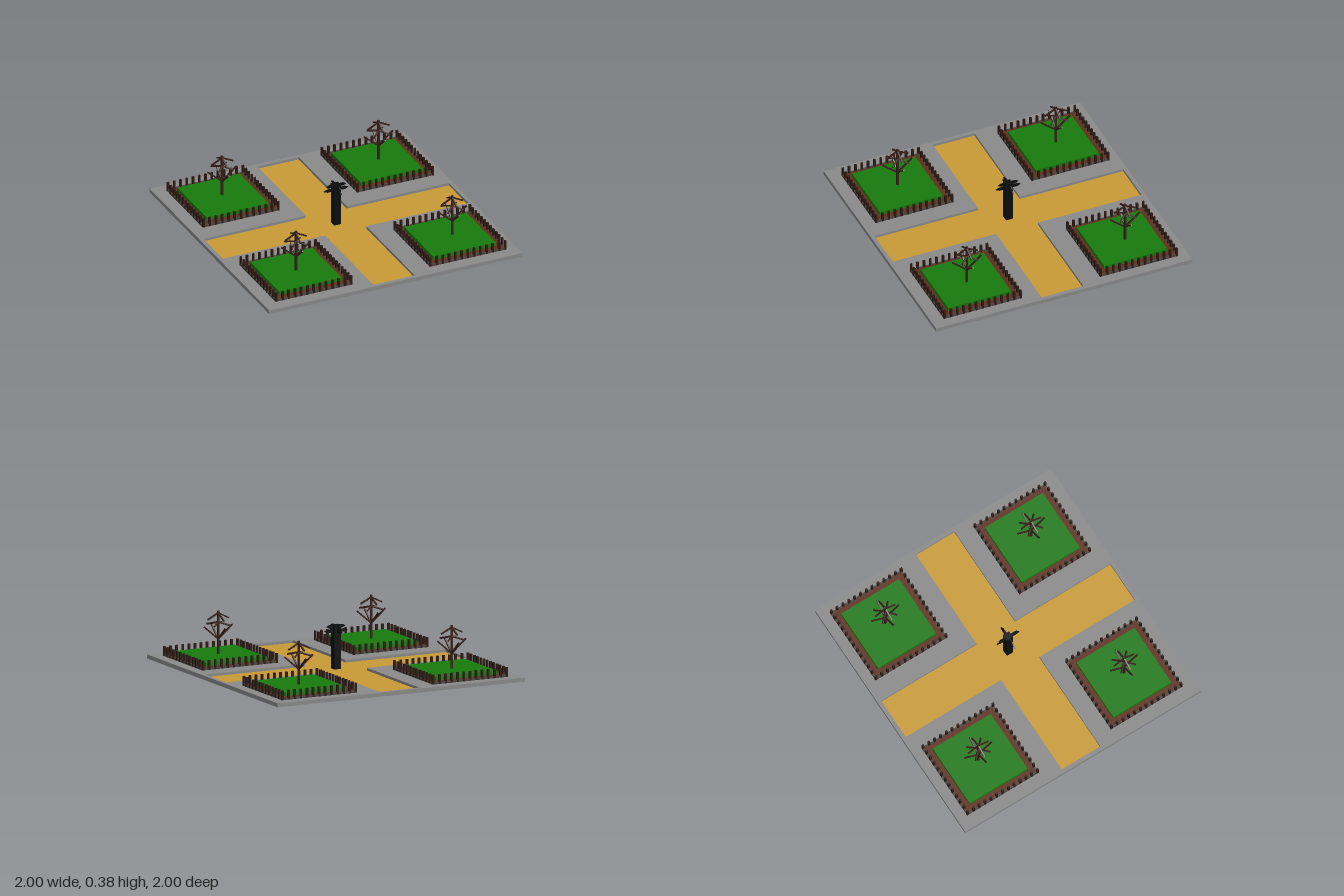
import * as THREE from 'three';

const mat = (color) => new THREE.MeshStandardMaterial({ color });
const STONE = mat(0x8a8a8a), PATH = mat(0xc89a35), GRASS = mat(0x177a0c);
const SOIL = mat(0x5e2f1a), RAIL = mat(0x4a4340), WOOD = mat(0x2e1a14), BARK = mat(0x38201a), IRON = mat(0x0c0e0e);

const UP = new THREE.Vector3(0, 1, 0);

function add(parent, name, geometry, material) {
  const mesh = new THREE.Mesh(geometry, material);
  mesh.name = name;
  parent.add(mesh);
  return mesh;
}

// Box given by its size, centre in x and z, and bottom height
function box(parent, name, material, w, h, d, x, y, z) {
  const mesh = add(parent, name, new THREE.BoxGeometry(w, h, d), material);
  mesh.position.set(x, y + h / 2, z);
  return mesh;
}

// Square bar between two points
function bar(parent, name, material, from, to, t) {
  const a = new THREE.Vector3(...from), b = new THREE.Vector3(...to);
  const dir = b.clone().sub(a);
  const mesh = add(parent, name, new THREE.BoxGeometry(t, dir.length(), t), material);
  mesh.position.copy(a).add(b).multiplyScalar(0.5);
  mesh.quaternion.setFromUnitVectors(UP, dir.normalize());
}

// Plus-shaped outline
function crossPoints(w, l) {
  return [[w, w], [l, w], [l, -w], [w, -w], [w, -l], [-w, -l],
    [-w, -w], [-l, -w], [-l, w], [-w, w], [-w, l], [w, l]].map(([x, y]) => new THREE.Vector2(x, y));
}

// Extrude a shape upwards from height y
function slab(parent, name, shape, material, y, h) {
  const g = new THREE.ExtrudeGeometry(shape, { depth: h, bevelEnabled: false });
  g.rotateX(-Math.PI / 2);
  g.translate(0, y, 0);
  return add(parent, name, g, material);
}

function makeTree() {
  const tree = new THREE.Group();
  tree.name = 'tree';
  box(tree, 'trunk', BARK, 0.015, 0.325, 0.015, 0, 0.06, 0);
  for (let i = 0; i < 4; i++) {
    const a = i * Math.PI / 2, c = Math.cos(a), s = Math.sin(a);
    bar(tree, 'lowBranch', BARK, [0, 0.18, 0], [c * 0.114, 0.277, s * 0.114], 0.01);
    bar(tree, 'topBranch', BARK, [0, 0.37, 0], [c * 0.085, 0.327, s * 0.085], 0.01);
    const dx = Math.cos(a + Math.PI / 4) * 0.088, dz = Math.sin(a + Math.PI / 4) * 0.088;
    bar(tree, 'middleBranch', BARK, [0, 0.304, 0], [dx, 0.285, dz], 0.01);
  }
  return tree;
}

function makeFence() {
  const fence = new THREE.Group();
  fence.name = 'fence';
  const r = 0.296, n = 12;
  for (let side = 0; side < 4; side++) {
    const run = new THREE.Group();
    run.name = 'fenceSide';
    run.rotation.y = side * Math.PI / 2;
    box(run, 'rail', RAIL, 0.604, 0.016, 0.013, 0, 0.03, r);
    for (let i = 0; i < n; i++) {
      box(run, 'picket', WOOD, 0.016, 0.07, 0.015, -r + i * 2 * r / n, 0.03, r);
    }
    fence.add(run);
  }
  return fence;
}

function makeBed(x, z, treeX, treeZ) {
  const bed = new THREE.Group();
  bed.name = 'gardenBed';
  box(bed, 'soil', SOIL, 0.582, 0.014, 0.582, 0, 0.03, 0);
  box(bed, 'grass', GRASS, 0.492, 0.026, 0.492, 0, 0.044, 0);
  bed.add(makeFence());
  const tree = makeTree();
  tree.position.set(treeX - x, 0, treeZ - z);
  bed.add(tree);
  bed.position.set(x, 0, z);
  return bed;
}

function makeColumn() {
  const column = new THREE.Group();
  column.name = 'centralPost';
  box(column, 'post', IRON, 0.052, 0.321, 0.052, 0, 0.01, 0);
  // Two tiers of crossed, pointed blades
  for (const [y, r] of [[0.288, 0.095], [0.32, 0.077]]) {
    const outline = [[-r, 0], [-r * 0.72, -0.011], [r * 0.72, -0.011], [r, 0], [r * 0.72, 0.011], [-r * 0.72, 0.011]];
    const shape = new THREE.Shape(outline.map(([px, py]) => new THREE.Vector2(px, py)));
    for (let i = 0; i < 2; i++) {
      const g = new THREE.ExtrudeGeometry(shape, { depth: 0.009, bevelEnabled: false });
      g.translate(0, 0, -0.0045);
      const blade = add(column, 'blade', g, IRON);
      blade.position.y = y;
      blade.rotation.y = i * Math.PI / 2;
    }
  }
  return column;
}

export function createModel() {
  const model = new THREE.Group();
  model.name = 'gardenSquare';

  // Paved plate with a sunken cross-shaped path
  const plate = new THREE.Shape([[-1, -1], [1, -1], [1, 1], [-1, 1]].map(([x, y]) => new THREE.Vector2(x, y)));
  box(model, 'foundation', STONE, 2, 0.006, 2, 0, 0, 0);
  plate.holes.push(new THREE.Path(crossPoints(0.163, 0.97)));
  slab(model, 'paving', plate, STONE, 0.006, 0.024);
  slab(model, 'path', new THREE.Shape(crossPoints(0.163, 0.97)), PATH, 0.006, 0.005);

  // Four fenced beds, each with a bare tree
  for (const [x, tx] of [[-0.6, -0.6], [0.618, 0.635]]) {
    for (const [z, tz] of [[0.6, 0.6], [-0.618, -0.635]]) model.add(makeBed(x, z, tx, tz));
  }

  model.add(makeColumn());
  return model;
}
